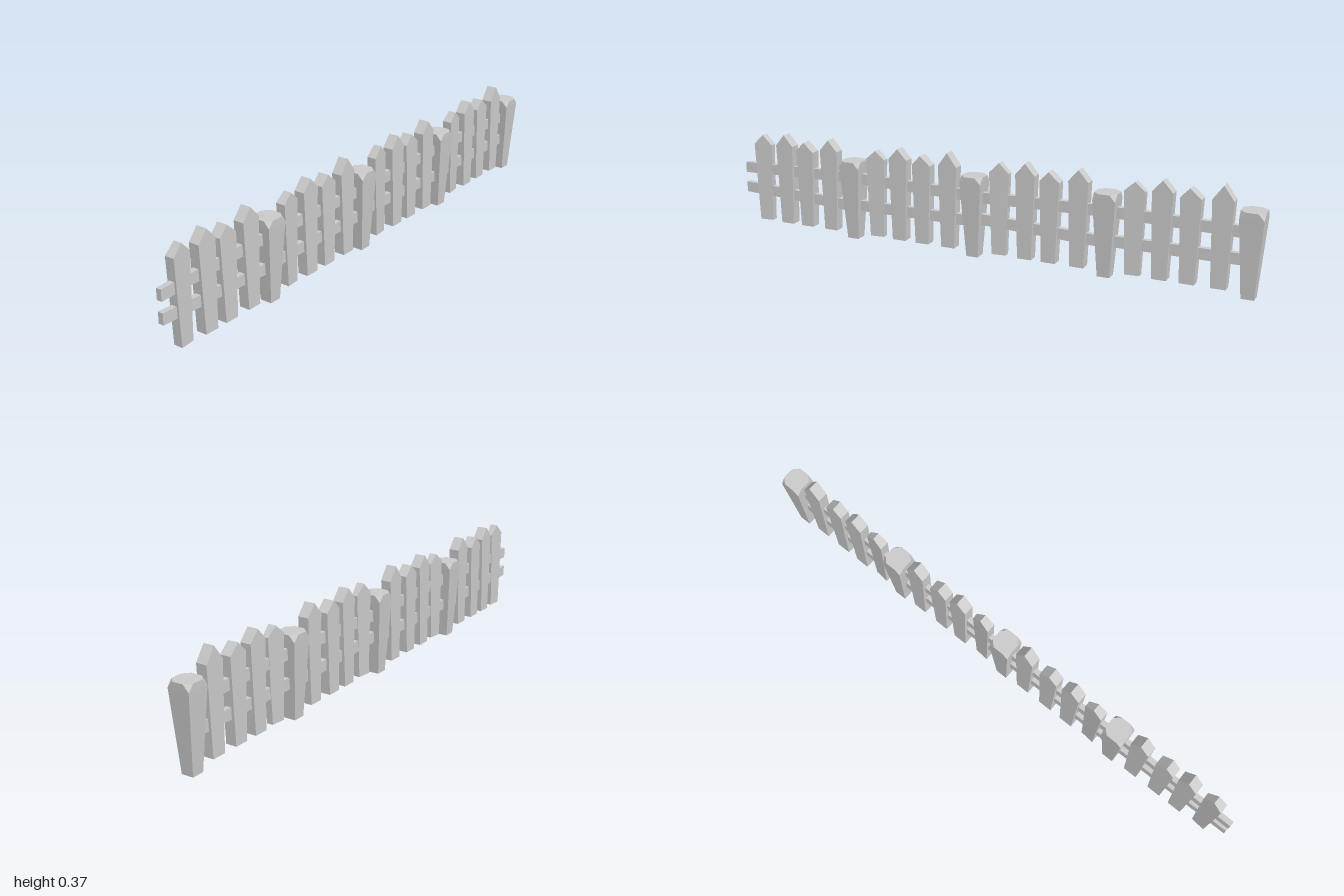
import * as THREE from 'three';
import { ConvexGeometry } from 'three/addons/geometries/ConvexGeometry.js';

const material = new THREE.MeshStandardMaterial({ color: 0xcccccc, flatShading: true });

function part(name, geometry, x = 0) {
  const mesh = new THREE.Mesh(geometry, material);
  mesh.name = name;
  mesh.position.x = x;
  return mesh;
}

// Post: narrow square foot, wide top with its four corners cut off
function postGeometry() {
  const pts = [];
  for (const sx of [-1, 1]) for (const sz of [-1, 1]) {
    const add = (x, y, z) => pts.push(new THREE.Vector3(sx * x, y, sz * z));
    add(0.022, 0, 0.022);
    add(0.04, 0.275, 0.04);
    add(0.041, 0.298, 0.02);
    add(0.02, 0.298, 0.041);
  }
  return new ConvexGeometry(pts);
}

// Picket: tapered pointed board; thinRight narrows its right-hand edge
function picketGeometry({ apex, shoulder, tip = 0, thinRight = false }) {
  const shape = new THREE.Shape([
    [-0.026, 0.02], [0.026, 0.02], [0.036, shoulder], [tip, apex], [-0.036, shoulder],
  ].map(([x, y]) => new THREE.Vector2(x, y)));
  const geo = new THREE.ExtrudeGeometry(shape, { depth: 0.04, bevelEnabled: false });
  geo.translate(0, 0, -0.02);
  if (thinRight) {
    const p = geo.attributes.position;
    for (let i = 0; i < p.count; i++) {
      const t = (p.getX(i) + 0.036) / 0.072;
      p.setZ(i, p.getZ(i) * (0.9 - 0.35 * t));
    }
    geo.computeVertexNormals();
  }
  return geo;
}

// Rail: thin bar whose two ends sit at slightly different heights
function railGeometry(x0, x1, y0, y1) {
  const h = 0.02;
  const shape = new THREE.Shape([
    [x0, y0 - h], [x1, y1 - h], [x1, y1 + h], [x0, y0 + h],
  ].map(([x, y]) => new THREE.Vector2(x, y)));
  return new THREE.ExtrudeGeometry(shape, { depth: 0.02, bevelEnabled: false }).translate(0, 0, -0.01);
}

// Two bay patterns that alternate along the fence
const bays = [
  {
    upper: [0.22, 0.232], lower: [0.142, 0.122],
    pickets: [
      { x: 0.1, apex: 0.357, shoulder: 0.32, thinRight: true },
      { x: 0.2, apex: 0.367, shoulder: 0.325 },
      { x: 0.29, apex: 0.347, shoulder: 0.312, tip: -0.003 },
      { x: 0.395, apex: 0.367, shoulder: 0.325 },
    ],
  },
  {
    upper: [0.232, 0.222], lower: [0.128, 0.13],
    pickets: [
      { x: 0.1, apex: 0.347, shoulder: 0.315, thinRight: true },
      { x: 0.195, apex: 0.365, shoulder: 0.325 },
      { x: 0.29, apex: 0.349, shoulder: 0.315, tip: -0.003 },
      { x: 0.395, apex: 0.372, shoulder: 0.322 },
    ],
  },
];

export function createModel() {
  const fence = new THREE.Group();
  fence.name = 'picketFence';
  const posts = [-0.52, -0.027, 0.467, 0.959];
  const post = postGeometry();

  posts.forEach((postX, i) => {
    const bay = bays[i % 2];
    const start = postX - 0.493;
    const group = new THREE.Group();
    group.name = 'fenceBay';
    group.add(part('post', post, postX));
    bay.pickets.forEach((p) => group.add(part('picket', picketGeometry(p), start + p.x)));
    const x0 = Math.max(start, -1);
    group.add(part('upperRail', railGeometry(x0, postX, ...bay.upper)));
    group.add(part('lowerRail', railGeometry(x0, postX, ...bay.lower)));
    fence.add(group);
  });
  return fence;
}
